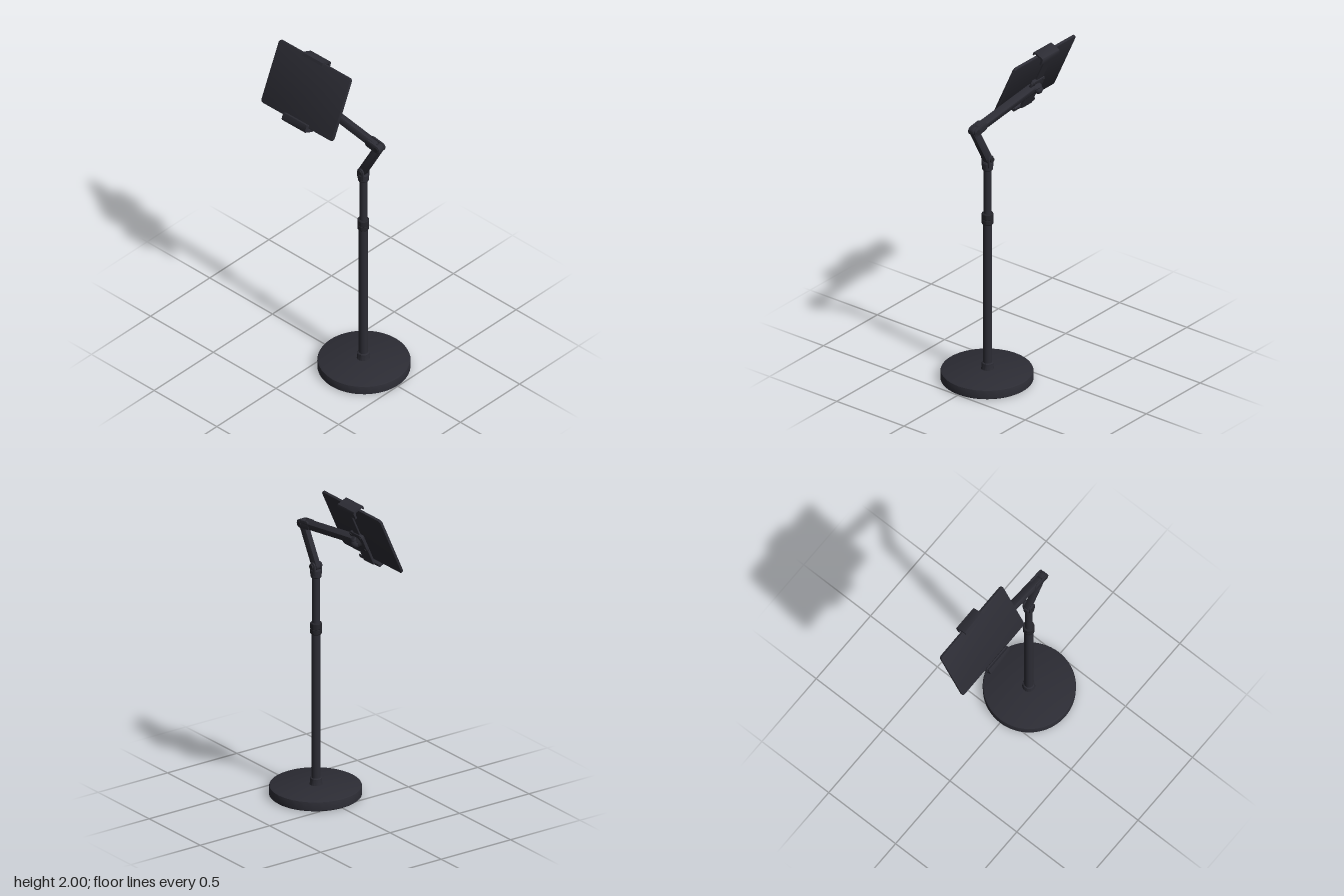
import * as THREE from 'three';
import { RoundedBoxGeometry } from 'three/addons/geometries/RoundedBoxGeometry.js';
import { toCreasedNormals } from 'three/addons/utils/BufferGeometryUtils.js';

const body = new THREE.MeshStandardMaterial({ color: 0x2c2c34 });
body.name = 'charcoal';
const dark = new THREE.MeshStandardMaterial({ color: 0x25252b });
dark.name = 'dark charcoal';

function add(parent, name, geometry, x = 0, y = 0, z = 0, material = body) {
  const mesh = new THREE.Mesh(geometry, material);
  mesh.name = name;
  mesh.position.set(x, y, z);
  parent.add(mesh);
  return mesh;
}

// Turned part from [radius, height] pairs, with sharp profile edges
function turned(points) {
  const lathe = new THREE.LatheGeometry(points.map(p => new THREE.Vector2(...p)), 64);
  return toCreasedNormals(lathe, 0.5);
}

// Upright slab with softened edges, centred in depth
function slab(shape, depth, bevel) {
  const g = new THREE.ExtrudeGeometry(shape, {
    depth: depth - 2 * bevel, bevelThickness: bevel, bevelSize: bevel,
    bevelOffset: -bevel, bevelSegments: 2, curveSegments: 12,
  });
  g.translate(0, 0, bevel - depth / 2);
  return toCreasedNormals(g, 0.6);
}

function roundedRect(w, h, r) {
  const x = w / 2, y = h / 2, s = new THREE.Shape();
  s.absarc(x - r, y - r, r, 0, Math.PI / 2);
  s.absarc(r - x, y - r, r, Math.PI / 2, Math.PI);
  s.absarc(r - x, r - y, r, Math.PI, Math.PI * 1.5);
  s.absarc(x - r, r - y, r, Math.PI * 1.5, Math.PI * 2);
  return s;
}

// Arm with round ends running along +x from its first pivot
function armShape(length, r) {
  const s = new THREE.Shape();
  s.absarc(0, 0, r, Math.PI / 2, Math.PI * 1.5);
  s.absarc(length, 0, r, -Math.PI / 2, Math.PI / 2);
  return s;
}

function addArm(parent, name, from, to, r, depth) {
  const a = new THREE.Vector3(...from), d = new THREE.Vector3(...to).sub(a);
  const mesh = add(parent, name, slab(armShape(d.length(), r), depth, 0.005), ...from);
  mesh.quaternion.setFromUnitVectors(new THREE.Vector3(1, 0, 0), d.normalize());
}

// Pivot bolt with a cap at both ends
function addBolt(parent, name, x, y, z, r, width) {
  const g = new THREE.CylinderGeometry(r, r, width, 24).rotateX(Math.PI / 2);
  add(parent, name, g, x, y, z, dark);
}

export function createModel() {
  const model = new THREE.Group();
  model.name = 'tabletFloorStand';
  const px = 0.225;

  // Weighted base and pole
  add(model, 'base', turned([[0, 0], [0.262, 0], [0.27, 0.006], [0.271, 0.05],
    [0.268, 0.058], [0.258, 0.063], [0, 0.068]]), 0.23);
  add(model, 'poleSocket', turned([[0, 0.06], [0.04, 0.06], [0.036, 0.075],
    [0.034, 0.105], [0.03, 0.11], [0, 0.11]]), px);
  add(model, 'lowerPole', new THREE.CylinderGeometry(0.027, 0.027, 0.95, 40), px, 0.54);
  add(model, 'upperPole', new THREE.CylinderGeometry(0.023, 0.023, 0.36, 40), px, 1.21);
  add(model, 'heightCollar', turned([[0, 1.01], [0.03, 1.01], [0.034, 1.015], [0.034, 1.04],
    [0.032, 1.043], [0.034, 1.046], [0.034, 1.077], [0.03, 1.082], [0, 1.082]]), px, 0, 0, dark);
  add(model, 'topCollar', turned([[0, 1.365], [0.029, 1.365], [0.032, 1.37], [0.032, 1.41],
    [0.027, 1.418], [0, 1.418]]), px);

  // Folding arms: fork at the pole, lower arm, elbow, upper arm
  for (const side of [-1, 1]) {
    addArm(model, 'poleFork', [px, 1.4, side * 0.023], [px, 1.436, side * 0.023], 0.024, 0.012);
  }
  addBolt(model, 'poleHinge', px, 1.436, -0.002, 0.015, 0.074);
  addArm(model, 'lowerArm', [px, 1.436, 0], [0.35, 1.665, 0], 0.026, 0.034);
  for (const side of [-1, 1]) {
    addArm(model, 'elbowPlate', [0.35, 1.665, side * 0.022 - 0.002],
      [0.285, 1.674, side * 0.022 - 0.002], 0.026, 0.013);
  }
  addBolt(model, 'elbowHinge', 0.35, 1.665, -0.002, 0.015, 0.062);
  addArm(model, 'upperArm', [0.31, 1.671, -0.003], [-0.16, 1.738, -0.014], 0.021, 0.048);

  // Tilted head: tablet and spring clamp share one frame
  const head = new THREE.Group();
  head.name = 'head';
  head.position.set(-0.2175, 1.793, 0.01);
  head.rotation.set(-0.42, 0, 0.009);
  model.add(head);
  add(head, 'tablet', slab(roundedRect(0.572, 0.402, 0.02), 0.018, 0.005));

  // Clamp back
  add(head, 'clampSlider', new RoundedBoxGeometry(0.06, 0.25, 0.012, 3, 0.004), 0, 0.085, -0.036);
  add(head, 'clampBody', new RoundedBoxGeometry(0.1, 0.22, 0.018, 3, 0.006), 0.005, -0.1, -0.032);
  add(head, 'clampPlate', slab(roundedRect(0.125, 0.125, 0.025), 0.016, 0.004), 0.01, -0.045, -0.04);
  for (const x of [-1, 1]) for (const y of [-1, 1]) {
    addBolt(head, 'plateScrew', 0.01 + x * 0.045, -0.045 + y * 0.045, -0.049, 0.008, 0.008);
  }

  // Hooked jaws above and below the tablet
  const jaw = new THREE.Shape([[-0.047, 0.165], [-0.047, 0.203], [-0.04, 0.212], [0.024, 0.212],
    [0.03, 0.207], [0.03, 0.188], [0.022, 0.188], [0.018, 0.201], [-0.026, 0.201], [-0.034, 0.193],
    [-0.036, 0.165]].map(p => new THREE.Vector2(...p)));
  const jawGeometry = width => {
    const g = new THREE.ExtrudeGeometry(jaw, { depth: width, bevelEnabled: false });
    g.translate(0, 0, -width / 2).rotateY(-Math.PI / 2);
    return toCreasedNormals(g, 0.7);
  };
  add(head, 'topJaw', jawGeometry(0.158), -0.002, 0.002, 0);
  const bottom = add(head, 'bottomJaw', jawGeometry(0.186), 0.013, -0.008, 0);
  bottom.geometry.rotateZ(Math.PI).rotateY(Math.PI);
  add(head, 'bottomLip', new RoundedBoxGeometry(0.186, 0.044, 0.009, 3, 0.004), 0.013, -0.196, 0.025);

  // Ball joint between clamp and upper arm
  const ball = new THREE.Group();
  ball.name = 'ballJoint';
  ball.position.set(0.012, -0.045, -0.045);
  head.add(ball);
  const ring = new THREE.CylinderGeometry(0.03, 0.038, 0.024, 32).rotateX(-Math.PI / 2);
  add(ball, 'ballSocket', ring, 0, 0, -0.008, dark);
  add(ball, 'ball', new THREE.SphereGeometry(0.027, 32, 20), 0, 0, -0.022);
  addArm(model, 'ballNeck', [-0.16, 1.738, -0.018], [-0.205, 1.745, -0.035], 0.016, 0.034);
  return model;
}
